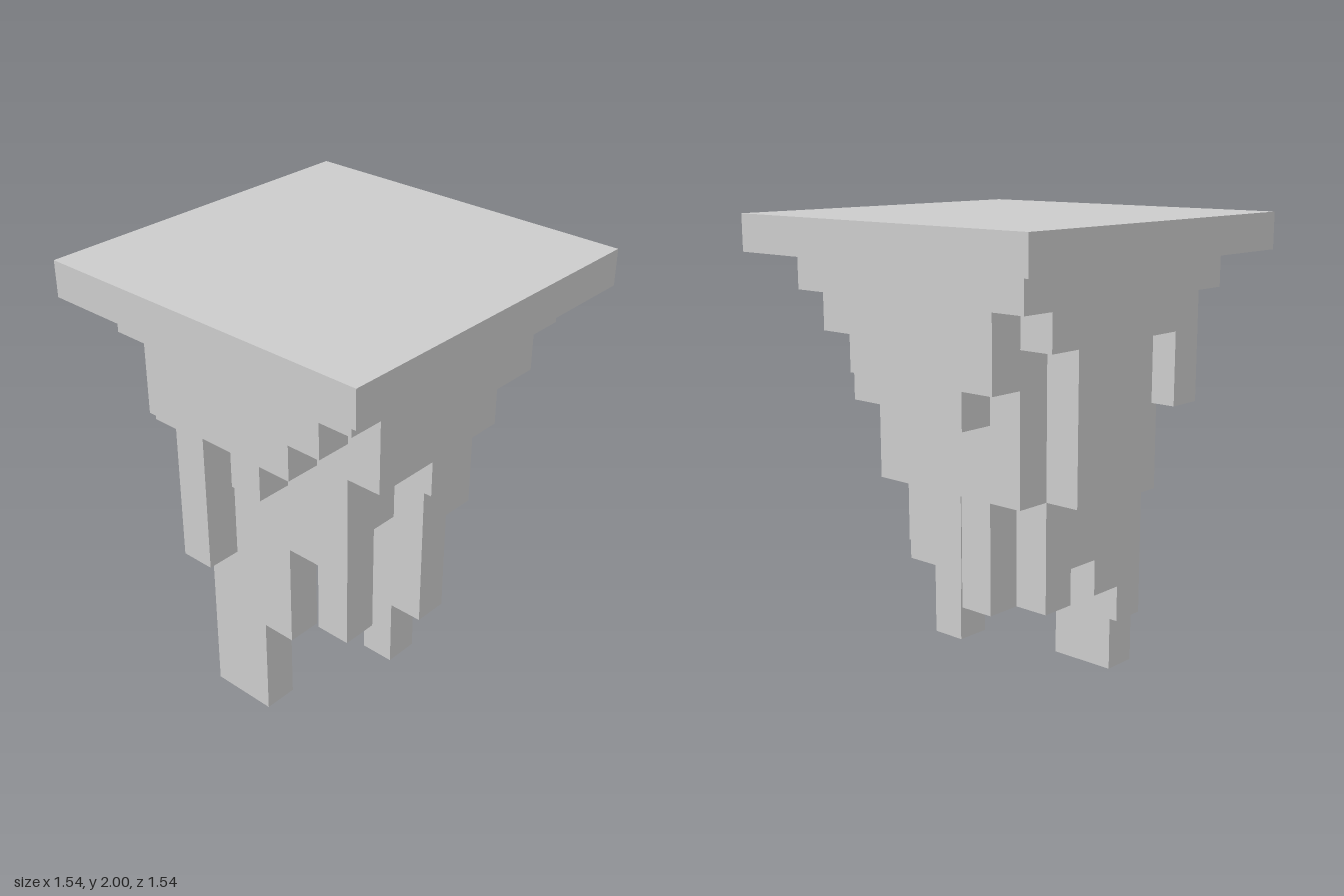
import * as THREE from 'three';

const U = 2 / 13; // size of one block

// Bottom level (in blocks) of each hanging column: rows run back to front, entries from -x to +x
const BOTTOMS = [
  [11, 8, 10, 8, 6, 6, 10, 11],
  [9, 8, 2, 3, 4, 3, 6, 9],
  [5, 0, 4, 4, 4, 3, 3, 8],
  [9, 0, 3, 4, 6, 6, 6, 9],
  [8, 3, 8, 4, 6, 3, 6, 9],
  [9, 6, 8, 6, 1, 4, 6, 9],
  [10, 4, 8, 8, 3, 6, 8, 10],
  [11, 9, 9, 8, 9, 10, 10, 11],
];
const SLAB_BOTTOM = 12;

export function createModel() {
  const model = new THREE.Group();
  model.name = 'hangingBlockPlatform';
  const material = new THREE.MeshStandardMaterial({ color: 0xcccccc, flatShading: true });

  // Box spanning the given block levels, centred at x, z in blocks
  const addBox = (parent, name, width, bottom, top, x, z) => {
    const mesh = new THREE.Mesh(
      new THREE.BoxGeometry(width * U, (top - bottom) * U, width * U), material);
    mesh.position.set(x * U, ((top + bottom) / 2) * U, z * U);
    mesh.name = name;
    parent.add(mesh);
  };

  // Flat square platform on top
  addBox(model, 'platformSlab', 10, SLAB_BOTTOM, 13, 0, 0);

  // Columns of varying length hanging beneath it
  const columns = new THREE.Group();
  columns.name = 'hangingColumns';
  BOTTOMS.forEach((row, j) => row.forEach((bottom, i) =>
    addBox(columns, 'hangingColumn', 1, bottom, SLAB_BOTTOM, i - 3.5, j - 3.5)));
  model.add(columns);

  return model;
}
